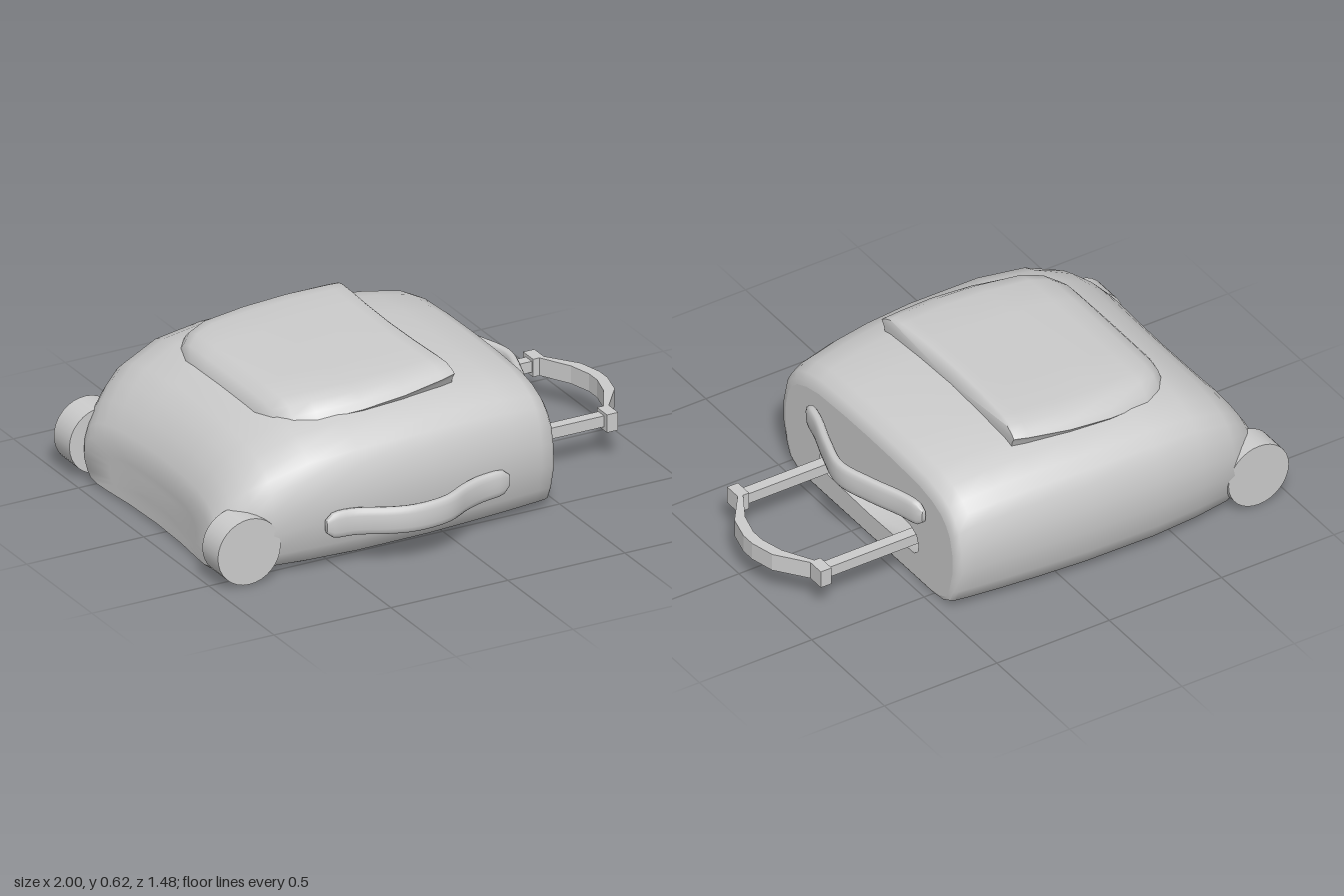
import * as THREE from 'three';
import { toCreasedNormals } from 'three/addons/utils/BufferGeometryUtils.js';

const grey = new THREE.MeshStandardMaterial({ color: 0xcccccc });
const greyDouble = new THREE.MeshStandardMaterial({ color: 0xcccccc, side: THREE.DoubleSide });

function part(name, geometry, parent, material = grey) {
  const mesh = new THREE.Mesh(geometry, material);
  mesh.name = name;
  parent.add(mesh);
  return mesh;
}

// Skin a list of equal-length rings; ends may be closed with a fan. Faces are turned outward.
function loft(rings, capStart, capEnd, crease = 0.8) {
  const tris = [];
  const n = rings[0].length;
  for (let r = 0; r < rings.length - 1; r++) {
    for (let i = 0; i < n; i++) {
      const j = (i + 1) % n, a = rings[r], b = rings[r + 1];
      tris.push([a[i], a[j], b[j]], [a[i], b[j], b[i]]);
    }
  }
  const fan = (ring, flip) => {
    const c = ring.reduce((s, p) => s.add(p), new THREE.Vector3()).divideScalar(n);
    ring.forEach((p, i) => {
      const q = ring[(i + 1) % n];
      tris.push(flip ? [c, q, p] : [c, p, q]);
    });
  };
  if (capStart) fan(rings[0], true);
  if (capEnd) fan(rings[rings.length - 1], false);
  const cross = new THREE.Vector3();
  const volume = tris.reduce((s, [a, b, c]) => s + a.dot(cross.crossVectors(b, c)), 0);
  const pos = tris.flatMap((t) => (volume < 0 ? [t[0], t[2], t[1]] : t)).flatMap((p) => [p.x, p.y, p.z]);
  const g = new THREE.BufferGeometry();
  g.setAttribute('position', new THREE.Float32BufferAttribute(pos, 3));
  return toCreasedNormals(g, crease);
}

// Complete a half outline (from bottom centre to top centre) by mirroring it
function mirrored(half) {
  return half.concat(half.slice(1, -1).reverse().map(([u, v]) => [-u, v]));
}

// Bag cross-section, in fractions of half width and height
const bagOutline = mirrored([
  [0, 0], [0.4, 0], [0.72, 0], [0.84, 0.02], [0.92, 0.07], [0.96, 0.18], [1, 0.38], [0.995, 0.56],
  [0.965, 0.72], [0.92, 0.81], [0.86, 0.88], [0.75, 0.94], [0.6, 0.98], [0.3, 1], [0, 1.005],
]);
const bagRing = ([x, w, h, y0 = 0]) => bagOutline.map(([u, v]) => {
  const z = u * w;
  const fade = Math.max(0, 1 - (x + 0.91) / 0.25);
  return new THREE.Vector3(x - 0.16 * z * z * fade, y0 + v * h, z); // hollowed wheel end
});

// Flat strap handle swept along a path in the ground plane
function strap(points, y, thick, tall) {
  const curve = new THREE.CatmullRomCurve3(points.map(([x, z]) => new THREE.Vector3(x, y, z)));
  const rings = [];
  const steps = 32;
  for (let i = 0; i <= steps; i++) {
    const t = i / steps;
    const p = curve.getPointAt(t), d = curve.getTangentAt(t);
    const e = Math.min(1, Math.min(t, 1 - t) / 0.08);
    const k = 0.5 + 0.5 * Math.sqrt(1 - (1 - e) ** 2);
    const ring = [];
    for (let j = 0; j < 16; j++) {
      const a = (j / 16) * Math.PI * 2;
      const c = Math.sign(Math.cos(a)) * Math.abs(Math.cos(a)) ** 0.7;
      const s = Math.sign(Math.sin(a)) * Math.abs(Math.sin(a)) ** 0.7;
      ring.push(new THREE.Vector3(p.x - d.z * c * thick * k, y + s * tall * k, p.z + d.x * c * thick * k));
    }
    rings.push(ring);
  }
  return loft(rings, true, true, 1.0);
}

export function createModel() {
  const model = new THREE.Group();
  model.name = 'suitcase';
  const bag = new THREE.Group();
  bag.name = 'bag';
  bag.position.z = -0.06;
  model.add(bag);

  // Main body: x, half width, height, bottom
  const sections = [
    [-0.91, 0.16, 0.07, 0.08], [-0.91, 0.33, 0.14, 0.04], [-0.91, 0.49, 0.22, 0.01], [-0.895, 0.515, 0.28],
    [-0.85, 0.555, 0.36], [-0.8, 0.59, 0.42], [-0.74, 0.63, 0.47], [-0.6, 0.662, 0.535], [-0.4, 0.68, 0.56],
    [-0.1, 0.676, 0.565], [0.1, 0.66, 0.56], [0.25, 0.643, 0.545], [0.39, 0.622, 0.52],
    [0.44, 0.61, 0.495], [0.455, 0.597, 0.47], [0.46, 0.575, 0.44, 0.01],
  ];
  const rings = sections.map(bagRing);
  part('body', loft(rings, true, false), bag);

  // End panel with the slot for the pull handle
  const slot = mirrored([[0, 0.1], [0.31, 0.108], [0.335, 0.13], [0.34, 0.16], [0.325, 0.2], [0.28, 0.222], [0, 0.23]]);
  const panel = new THREE.Shape(rings[rings.length - 1].map((p) => new THREE.Vector2(p.z, p.y)));
  panel.holes.push(new THREE.Path(slot.map(([z, y]) => new THREE.Vector2(z, y))));
  part('endPanel', new THREE.ShapeGeometry(panel).rotateY(Math.PI / 2).translate(0.46, 0, 0), bag, greyDouble);
  const slotRing = (x) => slot.map(([z, y]) => new THREE.Vector3(x, y, z));
  part('handleSlot', loft([slotRing(0.36), slotRing(0.46)], true, false), bag, greyDouble);

  // Raised pocket on top: x, half width, top, drop at the side
  const pocket = [
    [-0.64, 0.3, 0.525, 0.06], [-0.61, 0.38, 0.56, 0.08], [-0.56, 0.43, 0.583, 0.08], [-0.48, 0.465, 0.597, 0.075],
    [-0.3, 0.49, 0.605, 0.065], [-0.12, 0.49, 0.613, 0.055], [0.05, 0.468, 0.62, 0.045], [0.1, 0.458, 0.621, 0.04],
    [0.11, 0.455, 0.615, 0.034],
  ].map(([x, w, top, drop]) => mirrored([
    [0, 0.45], [0.9 * w, 0.45], [0.97 * w, top - drop - 0.02], [w, top - drop], [0.96 * w, top - drop * 0.6],
    [0.88 * w, top - drop * 0.2], [0.75 * w, top - 0.002], [0.4 * w, top], [0, top],
  ]).map(([z, y]) => {
    const bow = Math.max(0, (x + 0.12) / 0.23) * 0.025 * (1 - (z / w) ** 2);
    return new THREE.Vector3(x - bow, y, z);
  }));
  part('topPocket', loft(pocket, true, true), bag);

  // Carry straps on the end and on the side
  part('endStrap', strap([[0.475, -0.4], [0.5, -0.29], [0.55, -0.15], [0.588, 0], [0.55, 0.15], [0.5, 0.29], [0.475, 0.395]],
    0.338, 0.02, 0.053), bag);
  part('sideStrap', strap([[-0.565, 0.68], [-0.45, 0.69], [-0.33, 0.745], [-0.25, 0.77], [-0.16, 0.772], [-0.08, 0.755],
    [0.02, 0.7], [0.11, 0.667], [0.23, 0.65]], 0.195, 0.022, 0.054), bag);

  // Telescopic pull handle
  const pull = new THREE.Group();
  pull.name = 'pullHandle';
  bag.add(pull);
  for (const side of [-1, 1]) {
    part('pullRod', new THREE.BoxGeometry(0.49, 0.045, 0.045), pull).position.set(0.605, 0.16, side * 0.278);
  }
  const outer = [[0.835, 0.322], [0.883, 0.322], [0.883, 0.25], [0.975, 0.13], [1, 0.03]];
  const inner = [[0.955, 0.03], [0.93, 0.125], [0.862, 0.245], [0.835, 0.245]];
  const flip = (pts) => pts.map(([x, z]) => [x, -z]).reverse();
  const grip = new THREE.Shape([...outer, ...flip(outer), ...flip(inner), ...inner].map(([x, z]) => new THREE.Vector2(x, z)));
  const gripGeo = new THREE.ExtrudeGeometry(grip, { depth: 0.073, bevelEnabled: false });
  part('pullGrip', gripGeo.rotateX(Math.PI / 2).translate(0, 0.195, 0), pull);

  // Wheels
  for (const side of [-1, 1]) {
    const wheel = new THREE.CylinderGeometry(0.134, 0.134, 0.12, 32).rotateX(Math.PI / 2);
    part('wheel', wheel, bag).position.set(-0.866, 0.138, side * 0.57);
  }
  return model;
}
